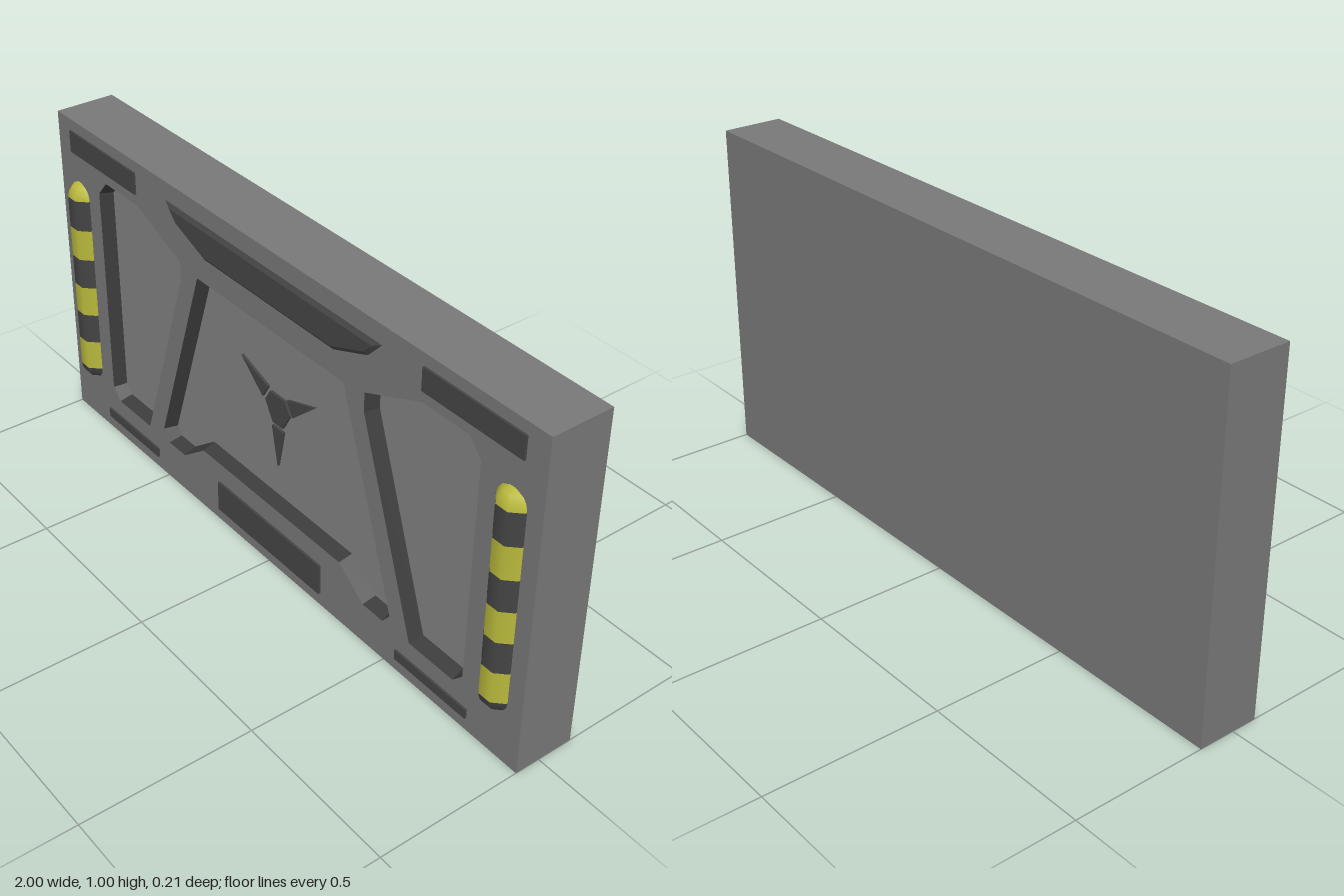
import * as THREE from 'three';

const FRONT = 0.075, BACK = -0.107, FLOOR = 0.035;
const mat = (color) => new THREE.MeshStandardMaterial({ color });
const vec = (pts) => pts.map(([x, y]) => new THREE.Vector2(x, y));
// Mirror an outline across x = 0, keeping it counter-clockwise
const mirror = (pts) => pts.map(([x, y]) => [-x, y]).reverse();
const rect = (x0, x1, y0, y1) => [[x0, y0], [x1, y0], [x1, y1], [x0, y1]];

// Move every edge of a counter-clockwise outline inwards by d
function inset(pts, d) {
  const n = pts.length;
  return pts.map((p, i) => {
    const a = pts[(i + n - 1) % n], b = pts[(i + 1) % n];
    const l1 = Math.hypot(p[0] - a[0], p[1] - a[1]), l2 = Math.hypot(b[0] - p[0], b[1] - p[1]);
    const n1 = [-(p[1] - a[1]) / l1, (p[0] - a[0]) / l1];
    const n2 = [-(b[1] - p[1]) / l2, (b[0] - p[0]) / l2];
    const k = d / (1 + n1[0] * n2[0] + n1[1] * n2[1]);
    return [p[0] + (n1[0] + n2[0]) * k, p[1] + (n1[1] + n2[1]) * k];
  });
}

// A flat face joined to its outline by sloped walls: raised or sunken
function panel(name, pts, zEdge, zFace, slope, faceMat, wallMat) {
  const group = new THREE.Group();
  group.name = name;
  const inner = inset(pts, slope);
  const pos = [];
  pts.forEach((p, i) => {
    const j = (i + 1) % pts.length;
    const a = [...p, zEdge], b = [...pts[j], zEdge];
    const c = [...inner[j], zFace], d = [...inner[i], zFace];
    pos.push(...a, ...b, ...c, ...a, ...c, ...d);
  });
  const walls = new THREE.BufferGeometry();
  walls.setAttribute('position', new THREE.Float32BufferAttribute(pos, 3));
  walls.computeVertexNormals();
  const face = new THREE.ShapeGeometry(new THREE.Shape(vec(inner)));
  face.translate(0, 0, zFace);
  const wallMesh = new THREE.Mesh(walls, wallMat);
  wallMesh.name = name + 'Walls';
  const faceMesh = new THREE.Mesh(face, faceMat);
  faceMesh.name = name + 'Face';
  group.add(wallMesh, faceMesh);
  return group;
}

// Striped light bar: a faceted half capsule made of stacked bands
function lightBar(x, yellow, dark) {
  const group = new THREE.Group();
  group.name = x > 0 ? 'leftLightBar' : 'rightLightBar';
  const R = 0.051, y0 = 0.147, y1 = 0.815, cap = 0.046;
  const arc = [0, 1, 2, 3, 4].map((i) => i * Math.PI / 8);
  const levels = [0.195, 0.29, 0.385, 0.48, 0.575, 0.672, 0.768];
  const bands = [
    [...arc.map((t) => [R * Math.sin(t), y0 + cap * (1 - Math.cos(t))]), [R, levels[0]]],
    ...levels.slice(0, -1).map((y, i) => [[R, y], [R, levels[i + 1]]]),
    [[R, levels[6]], ...arc.map((t) => [R * Math.cos(t), y1 - cap * (1 - Math.sin(t))])],
  ];
  bands.forEach((profile, i) => {
    const geo = new THREE.LatheGeometry(vec(profile), 5, -Math.PI * 0.625, Math.PI * 1.25);
    const band = new THREE.Mesh(geo, i % 2 ? yellow : dark);
    band.name = 'stripe' + i;
    group.add(band);
  });
  group.position.set(x, 0, 0.06);
  return group;
}

export function createModel() {
  const model = new THREE.Group();
  model.name = 'wallPanel';
  const body = mat(0x777777), floor = mat(0x808080), dark = mat(0x444444);
  const trim = mat(0x3c3c3c), yellow = mat(0xb8b83c);

  const centre = [[-0.31, 0.2], [0.31, 0.2], [0.41, 0.125], [0.49, 0.125], [0.517, 0.16],
    [0.312, 0.768], [-0.312, 0.768], [-0.517, 0.16], [-0.49, 0.125], [-0.41, 0.125]];
  const side = [[0.595, 0.125], [0.76, 0.125], [0.793, 0.16], [0.798, 0.82], [0.757, 0.866],
    [0.597, 0.866], [0.392, 0.782], [0.392, 0.725]];
  const recesses = { centreRecess: centre, leftRecess: side, rightRecess: mirror(side) };

  // Slab: box without its front, closed by a face with openings
  const box = new THREE.BoxGeometry(2, 1, FRONT - BACK);
  const index = [...box.index.array];
  index.splice(24, 6);
  box.setIndex(index);
  box.clearGroups();
  box.translate(0, 0.5, (FRONT + BACK) / 2);
  const slab = new THREE.Mesh(box, body);
  slab.name = 'slab';
  const shape = new THREE.Shape(vec(rect(-1, 1, 0, 1)));
  for (const pts of Object.values(recesses)) shape.holes.push(new THREE.Path(vec(pts)));
  const front = new THREE.Mesh(new THREE.ShapeGeometry(shape).translate(0, 0, FRONT), body);
  front.name = 'frontFace';
  model.add(slab, front);

  // Sunken panels
  for (const [name, pts] of Object.entries(recesses))
    model.add(panel(name, pts, FRONT, FLOOR, 0.012, floor, trim));

  // Raised plates
  const topBar = [[-0.27, 0.842], [0.27, 0.842], [0.4, 0.892], [0.45, 0.945], [-0.45, 0.945], [-0.4, 0.892]];
  model.add(panel('topBar', topBar, FRONT, 0.084, 0.012, dark, dark));
  model.add(panel('bottomPlate', rect(-0.233, 0.233, 0.04, 0.137), FRONT, 0.082, 0, dark, dark));
  const upper = rect(0.597, 0.932, 0.9, 0.966), lower = rect(0.548, 0.818, 0.04, 0.07);
  model.add(panel('leftUpperPlate', upper, FRONT, 0.081, 0, dark, dark));
  model.add(panel('rightUpperPlate', mirror(upper), FRONT, 0.081, 0, dark, dark));
  model.add(panel('leftLowerPlate', lower, FRONT, 0.081, 0, dark, dark));
  model.add(panel('rightLowerPlate', mirror(lower), FRONT, 0.081, 0, dark, dark));

  // Three-bladed ornament on the centre panel
  const turn = ([x, y], k) => {
    const c = Math.cos(k * Math.PI * 2 / 3), s = Math.sin(k * Math.PI * 2 / 3);
    return [x * c - y * s, 0.5 + x * s + y * c];
  };
  const hub = [];
  for (let k = 0; k < 3; k++) {
    hub.push(turn([-0.021, -0.05], k), turn([0.021, -0.05], k));
    const blade = [[0, -0.185], [0.025, -0.062], [-0.025, -0.062]].map((p) => turn(p, k));
    model.add(panel('ornamentBlade', blade, FLOOR, 0.043, 0, dark, dark));
  }
  model.add(panel('ornamentHub', hub, FLOOR, 0.043, 0, dark, dark));

  for (const x of [-0.903, 0.903]) model.add(lightBar(x, yellow, dark));
  return model;
}
